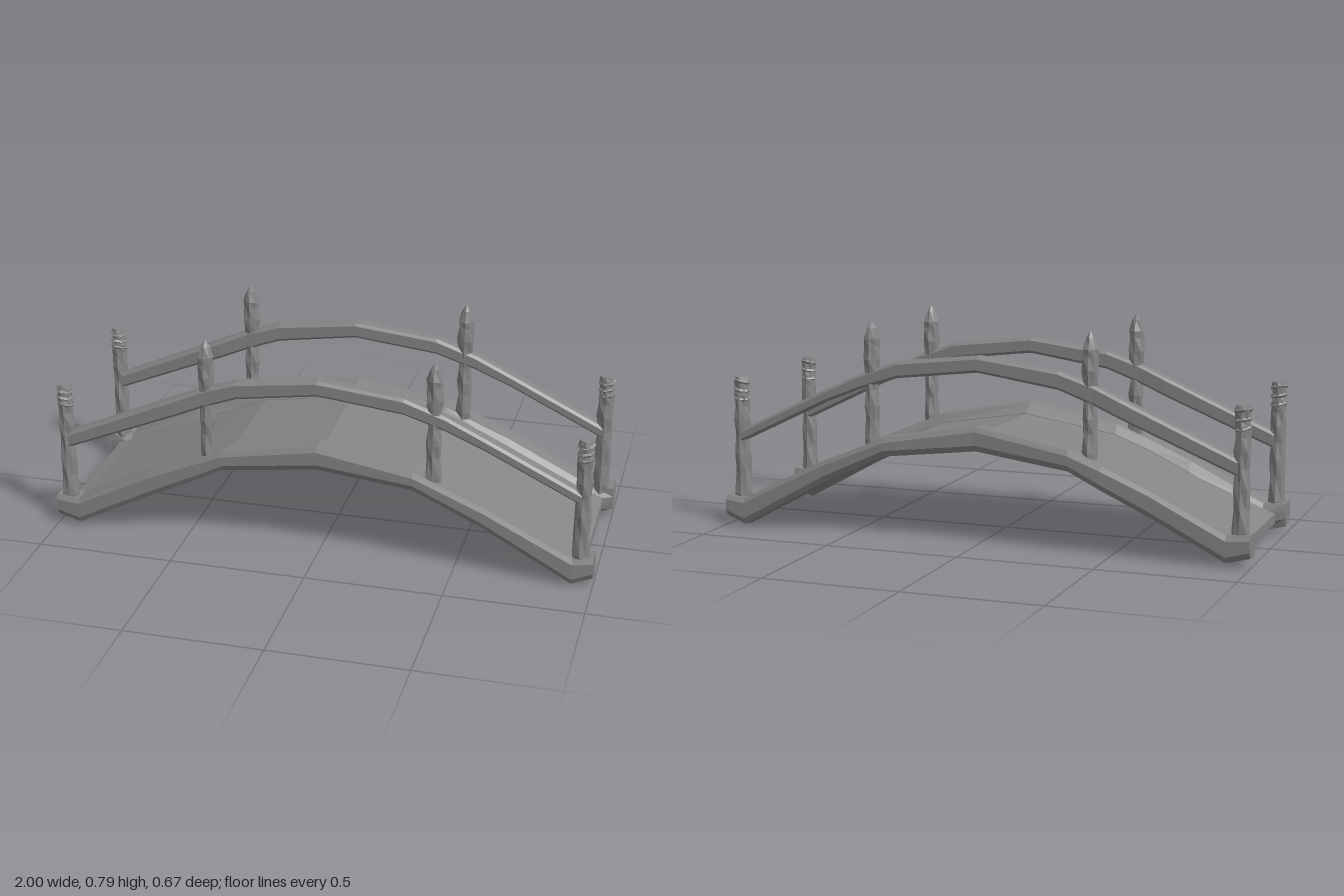
import * as THREE from 'three';

const material = new THREE.MeshStandardMaterial({ color: 0x858585, flatShading: true });

// Height stations along the span: [x, underside, top]
const BEAM = [
  [-1, 0.03, 0.118], [-0.915, 0.008, 0.112], [-0.64, 0.148, 0.25], [-0.47, 0.23, 0.325], [-0.35, 0.29, 0.372],
  [0, 0.336, 0.433], [0.35, 0.297, 0.374], [0.6, 0.182, 0.27], [0.925, 0.002, 0.108], [1, 0.03, 0.116],
];
const RAIL = [
  [-0.945, 0.315, 0.373], [-0.53, 0.487, 0.556], [-0.43, 0.53, 0.6], [-0.3, 0.578, 0.643], [0, 0.624, 0.682],
  [0.31, 0.588, 0.648], [0.46, 0.54, 0.594], [0.6, 0.484, 0.53], [0.945, 0.316, 0.361],
];

// Closed solid through a row of equal-length rings, wound to face outward
function loft(rings) {
  const pos = [];
  const tri = (a, b, c) => pos.push(...a, ...b, ...c);
  const n = rings[0].length;
  for (let i = 0; i < rings.length - 1; i++) {
    for (let j = 0; j < n; j++) {
      const k = (j + 1) % n, p = rings[i], q = rings[i + 1];
      tri(p[j], p[k], q[k]);
      tri(p[j], q[k], q[j]);
    }
  }
  const last = rings[rings.length - 1];
  for (let j = 1; j < n - 1; j++) {
    tri(rings[0][0], rings[0][j + 1], rings[0][j]);
    tri(last[0], last[j], last[j + 1]);
  }
  // Signed volume tells whether the faces point inward
  let volume = 0;
  const a = new THREE.Vector3(), b = new THREE.Vector3(), c = new THREE.Vector3();
  for (let i = 0; i < pos.length; i += 9) {
    a.fromArray(pos, i); b.fromArray(pos, i + 3); c.fromArray(pos, i + 6);
    volume += a.dot(b.cross(c));
  }
  if (volume < 0) {
    for (let i = 0; i < pos.length; i += 9) {
      for (let k = 0; k < 3; k++) [pos[i + 3 + k], pos[i + 6 + k]] = [pos[i + 6 + k], pos[i + 3 + k]];
    }
  }
  const geo = new THREE.BufferGeometry();
  geo.setAttribute('position', new THREE.Float32BufferAttribute(pos, 3));
  geo.computeVertexNormals();
  return geo;
}

function add(parent, name, geo, x = 0, y = 0, z = 0) {
  const mesh = new THREE.Mesh(geo, material);
  mesh.name = name;
  mesh.position.set(x, y, z);
  parent.add(mesh);
  return mesh;
}

// Hewn post: a lathe profile roughened by a periodic ripple
function hewnPost(profile, phase) {
  const geo = new THREE.LatheGeometry(profile.map(([r, y]) => new THREE.Vector2(r, y)), 8);
  const p = geo.attributes.position;
  for (let i = 0; i < p.count; i++) {
    const x = p.getX(i), y = p.getY(i), z = p.getZ(i);
    const s = 1 + 0.1 * Math.sin(3 * Math.atan2(z, x) + y * 45 + phase);
    p.setX(i, x * s);
    p.setZ(i, z * s);
  }
  geo.computeVertexNormals();
  return geo;
}

const END_POST = [
  [0, 0.08], [0.03, 0.08], [0.032, 0.12], [0.028, 0.2], [0.03, 0.27], [0.026, 0.34], [0.03, 0.4],
  [0.027, 0.45], [0.029, 0.49], [0.026, 0.51], [0.028, 0.545], [0.024, 0.56], [0, 0.56],
];
const MIDDLE_POST = [
  [0, 0.3], [0.027, 0.3], [0.029, 0.36], [0.024, 0.43], [0.028, 0.48], [0.023, 0.54], [0.026, 0.6],
  [0.031, 0.65], [0.028, 0.7], [0.029, 0.725], [0.016, 0.765], [0, 0.79],
];

function buildSide(side) {
  const group = new THREE.Group();
  group.name = side > 0 ? 'frontSide' : 'backSide';
  const axis = side > 0 ? 0.288 : 0.273;

  // Curved side beam, with its inner foot flaring onto the deck
  const end = BEAM.length - 1;
  add(group, 'sideBeam', loft(BEAM.map(([x, bottom, top], i) => {
    const tip = i === 0 || i === end;
    const wave = side < 0 ? 0.008 * Math.cos(x * 8) : 0;
    const outer = 0.331 - (tip ? 0.006 : wave);
    const inner = tip ? 0.25 : 0.256;
    const foot = tip ? 0.245 : 0.226 + 0.01 * Math.sin(i * 2.3);
    return [
      [outer - 0.012, bottom + 0.008], [outer, bottom + 0.03], [outer, top - 0.018], [outer - 0.01, top],
      [inner, top - 0.002], [foot, top - 0.034], [foot, bottom + 0.03], [inner, bottom],
    ].map(([z, y]) => [x, y, z * side]);
  })));

  // Handrail with bevelled edges
  add(group, 'handrail', loft(RAIL.map(([x, bottom, top], i) => {
    const w = 0.027 + 0.003 * Math.sin(i * 1.9), bevel = 0.01;
    return [
      [-w + bevel, bottom], [w - bevel, bottom], [w, bottom + bevel], [w, top - bevel],
      [w - bevel, top], [-w + bevel, top], [-w, top - bevel], [-w, bottom + bevel],
    ].map(([z, y]) => [x, y, axis * side + z]);
  })));

  for (const s of [-1, 1]) {
    // End post with tilted rope bands
    const x = s * 0.953 - 0.004;
    add(group, 'endPost', hewnPost(END_POST, s + side * 2), x, 0, axis * side);
    [0.482, 0.51, 0.54].forEach((y, i) => {
      const band = add(group, 'ropeBand', new THREE.TorusGeometry(0.026, 0.0075, 4, 7), x, y, axis * side);
      band.rotation.set(Math.PI / 2 + (i - 1) * 0.2, 0.18 * s, 0);
    });
    // Pointed middle post
    add(group, 'middlePost', hewnPost(MIDDLE_POST, s * 2 + side), s * 0.415 + 0.002, 0, axis * side);
  }
  return group;
}

export function createModel() {
  const model = new THREE.Group();
  model.name = 'footbridge';

  // Arched deck slab, ending a little short of the beam tips
  const last = BEAM.length - 1;
  add(model, 'deck', loft(BEAM.map(([x, bottom, top], i) => {
    const tip = i === 0 || i === last;
    const near = i === 1 || i === last - 1;
    const px = tip ? Math.sign(x) * 0.963 : x;
    const y0 = tip ? 0.042 : bottom + (near ? 0.036 : 0.02);
    const y1 = tip ? 0.078 : top - (near ? 0.018 : 0.036);
    return [[px, y0, 0.27], [px, y1, 0.27], [px, y1, -0.27], [px, y0, -0.27]];
  })));

  model.add(buildSide(1), buildSide(-1));
  return model;
}
